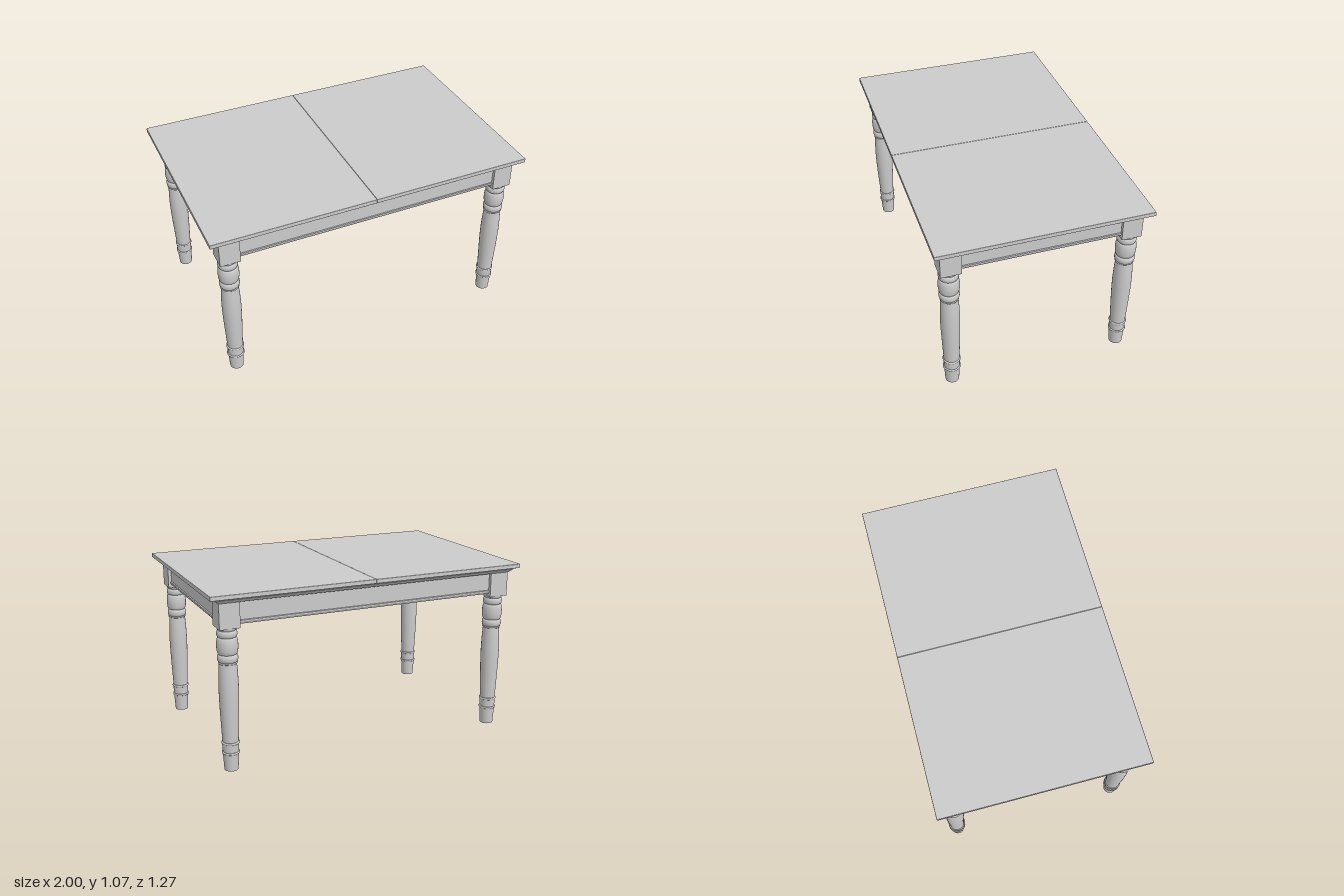
import * as THREE from 'three';
import { toCreasedNormals } from 'three/addons/utils/BufferGeometryUtils.js';
import { RoundedBoxGeometry } from 'three/addons/geometries/RoundedBoxGeometry.js';

const TOP_X = 1, TOP_Z = 0.637, TOP_Y = 1.067, TOP_UNDER = 1.041;
const BLOCK_TOP = 1.013, BLOCK_BOTTOM = 0.862;
const LEG_X = 0.88, LEG_Z = 0.533, BLOCK = 0.122;
const SEAM = 0.0005;

const material = new THREE.MeshStandardMaterial({ color: 0xcccccc });

function mesh(name, geometry) {
  const m = new THREE.Mesh(geometry, material);
  m.name = name;
  return m;
}

// Creased normals, enlarged meanwhile so that fine beads are not merged
function creased(geometry, angle) {
  return toCreasedNormals(geometry.scale(100, 100, 100), angle).scale(0.01, 0.01, 0.01);
}

// Half-round profile points bulging outwards, from (r, y0) up to (r, y1)
function bulge(r, y0, y1, out, steps = 8) {
  const points = [];
  for (let i = 0; i <= steps; i++) {
    const a = -Math.PI / 2 + (Math.PI * i) / steps;
    points.push([r + out * Math.cos(a), (y0 + y1) / 2 + ((y1 - y0) / 2) * Math.sin(a)]);
  }
  return points;
}

// Sweeps a closed (offset, y) profile along mitred corners [x, z, x offset, z offset]
function sweep(profile, corners, closed) {
  const positions = [], index = [], n = profile.length;
  for (const [x, z, dx, dz] of corners)
    for (const [o, y] of profile) positions.push(x + o * dx, y, z + o * dz);
  const spans = closed ? corners.length : corners.length - 1;
  for (let i = 0; i < spans; i++)
    for (let j = 0; j < n; j++) {
      const i2 = (i + 1) % corners.length, j2 = (j + 1) % n;
      const a = i * n + j, b = i2 * n + j, c = i2 * n + j2, d = i * n + j2;
      index.push(a, b, c, a, c, d);
    }
  const g = new THREE.BufferGeometry();
  g.setAttribute('position', new THREE.Float32BufferAttribute(positions, 3));
  g.setIndex(index);
  return creased(g, 0.4);
}

// One half of the table top with its moulding; the other half is turned round
function createTopHalf() {
  const half = new THREE.Group();
  const board = mesh('tableTop',
    new RoundedBoxGeometry(TOP_X - SEAM, TOP_Y - TOP_UNDER, TOP_Z * 2, 2, 0.003));
  board.position.set((TOP_X + SEAM) / 2, (TOP_Y + TOP_UNDER) / 2, 0);

  // Bevelled moulding under the edge, offsets measured from the block faces
  const inset = 0.06;
  const bevel = [[-inset, BLOCK_TOP], [0.004, BLOCK_TOP], [0.018, 1.028],
    [0.024, 1.034], [0.024, TOP_UNDER], [-inset, TOP_UNDER]];
  const x = LEG_X + BLOCK / 2, z = LEG_Z + BLOCK / 2;
  const moulding = mesh('topMoulding', sweep(bevel,
    [[SEAM, z, 0, 1], [x, z, 1, 1], [x, -z, 1, -1], [SEAM, -z, 0, -1]], false));

  // Flat panel that closes the underside within the moulding
  const panel = mesh('underPanel', new THREE.BoxGeometry(
    x - inset - SEAM, TOP_UNDER - BLOCK_TOP, (z - inset) * 2));
  panel.position.set((x - inset + SEAM) / 2, (TOP_UNDER + BLOCK_TOP) / 2, 0);
  half.add(board, moulding, panel);
  return half;
}

// Apron boards with a narrow lip along the lower edge
function createApron() {
  const x = 0.921, z = 0.574;
  const profile = [[-0.03, 0.881], [0, 0.881], [0.007, 0.894], [0.007, 0.902], [0, 0.904],
    [0, BLOCK_TOP], [-0.03, BLOCK_TOP]];
  return mesh('apron', sweep(profile,
    [[-x, z, -1, 1], [x, z, 1, 1], [x, -z, 1, -1], [-x, -z, -1, -1]], true));
}

// Turned leg profile from the floor up
function createLegGeometry() {
  const shaft = new THREE.CatmullRomCurve3([[0.047, 0.178], [0.051, 0.27], [0.056, 0.4],
    [0.0575, 0.5], [0.055, 0.59], [0.051, 0.65]].map(([r, y]) => new THREE.Vector3(r, y, 0)))
    .getPoints(20).map((p) => [p.x, p.y]);
  const profile = [
    [0, 0], [0.041, 0], [0.047, 0.103],
    ...bulge(0.048, 0.103, 0.116, 0.005),
    [0.047, 0.116], [0.049, 0.164],
    ...bulge(0.0485, 0.164, 0.178, 0.005),
    ...shaft,
    ...bulge(0.052, 0.65, 0.66, 0.004),
    ...bulge(0.05, 0.66, 0.705, 0.01),
    ...bulge(0.051, 0.705, 0.805, 0.011, 12),
    ...bulge(0.05, 0.805, 0.846, 0.009),
    [0.052, 0.846], [0.056, 0.853], [0.057, BLOCK_BOTTOM],
  ].map(([r, y]) => new THREE.Vector2(r, y));
  return creased(new THREE.LatheGeometry(profile, 40), 0.6);
}

export function createModel() {
  const table = new THREE.Group();
  table.name = 'diningTable';

  ['leftTopHalf', 'rightTopHalf'].forEach((name, i) => {
    const half = createTopHalf();
    half.name = name;
    half.rotation.y = i * Math.PI;
    table.add(half);
  });

  table.add(createApron());

  // Four turned legs with square corner blocks
  const turned = createLegGeometry();
  const square = new THREE.BoxGeometry(BLOCK, BLOCK_TOP - BLOCK_BOTTOM, BLOCK);
  for (const [side, sx] of [['Left', 1], ['Right', -1]])
    for (const [end, sz] of [['front', 1], ['back', -1]]) {
      const leg = new THREE.Group();
      leg.name = `${end}${side}Leg`;
      const block = mesh('cornerBlock', square);
      block.position.y = (BLOCK_TOP + BLOCK_BOTTOM) / 2;
      leg.add(mesh('turnedLeg', turned), block);
      leg.position.set(sx * LEG_X, 0, sz * LEG_Z);
      table.add(leg);
    }
  return table;
}
